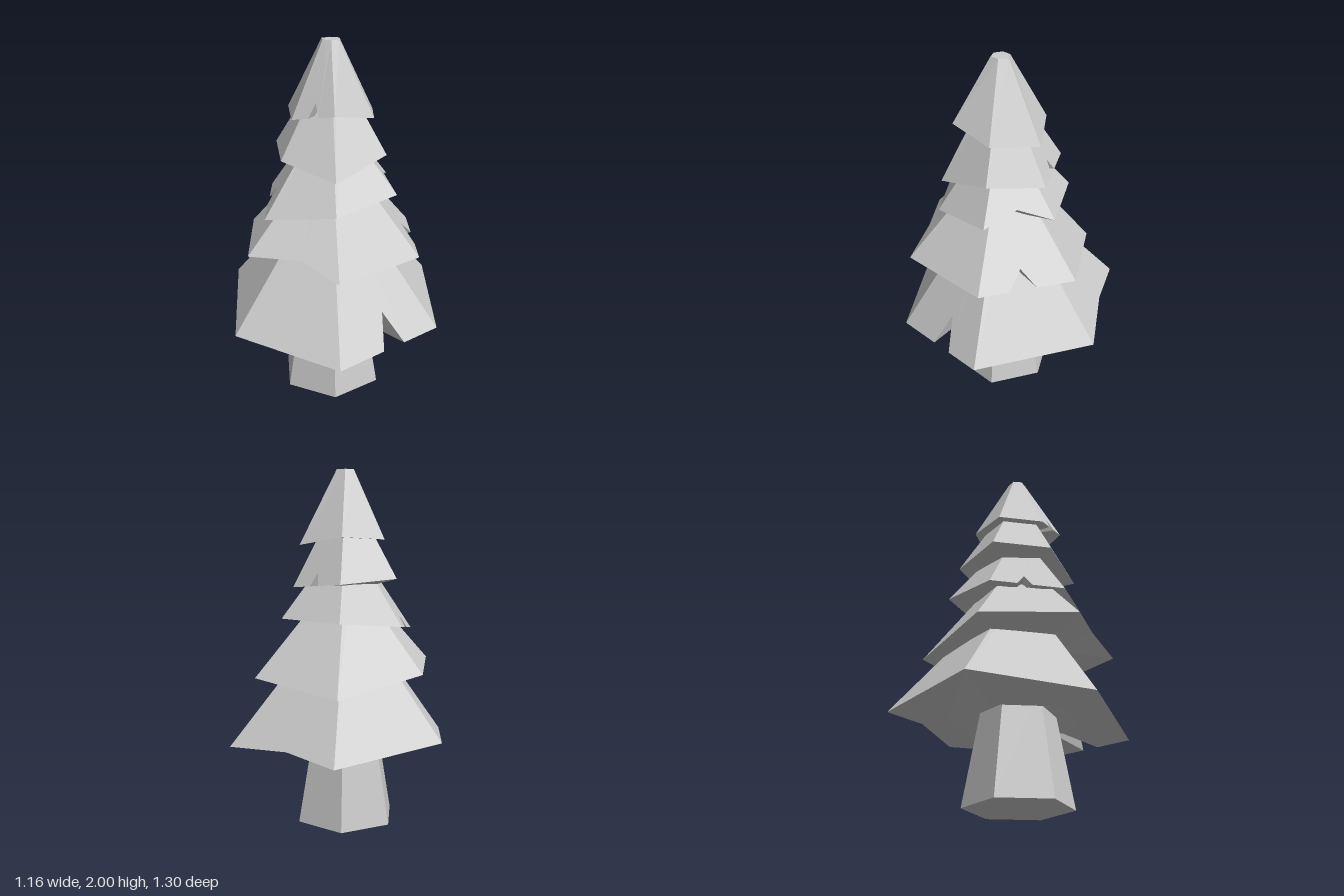
import * as THREE from 'three';

const AXIS = new THREE.Vector3(-0.025, 0, 0.05);

// Radii and heights of the six rim corners, counter-clockwise from the front.
// Dents: side, position along it, half width (0 = a single raised point), lift.
const tiers = [
  { name: 'bottomBranches', under: 0.455, top: 1.22, tip: 0.1,
    radii: [0.6, 0.65, 0.7, 0.7, 0.63, 0.635], heights: [0.385, 0.455, 0.5, 0.5, 0.54, 0.455],
    dents: [[0, 0.545, 0.105, 0.17], [2, 0.54, 0, 0.03]] },
  { name: 'lowerBranches', under: 0.85, top: 1.42, tip: 0.1,
    radii: [0.54, 0.53, 0.55, 0.525, 0.505, 0.535], heights: [0.86, 0.865, 0.87, 0.81, 0.9, 0.91],
    dents: [[1, 0.46, 0.14, 0.09], [5, 0.57, 0, 0.05]] },
  { name: 'middleBranches', under: 1.17, top: 1.62, tip: 0.1,
    radii: [0.36, 0.39, 0.39, 0.395, 0.37, 0.425], heights: [1.15, 1.205, 1.19, 1.19, 1.15, 1.095],
    dents: [[1, 0.5, 0, 0.065], [4, 0.47, 0.1, 0.07]] },
  { name: 'upperBranches', under: 1.37, top: 1.88, tip: 0.1,
    radii: [0.335, 0.325, 0.32, 0.34, 0.335, 0.315], heights: [1.33, 1.42, 1.36, 1.39, 1.41, 1.4],
    dents: [[2, 0.45, 0.09, 0.07]] },
  { name: 'topBranches', under: 1.63, top: 2, tip: 0.2,
    radii: [0.26, 0.25, 0.28, 0.25, 0.255, 0.245], heights: [1.66, 1.61, 1.59, 1.635, 1.62, 1.61],
    dents: [[5, 0.51, 0.12, 0.07]] },
];

// Copy of a rim shrunk towards the axis at a fixed height
const ringAt = (rim, scale, y) => rim.map((p) => new THREE.Vector3(p.x * scale, y, p.z * scale));

function tierGeometry({ under, top, tip, radii, heights, dents }) {
  const corners = radii.map((radius, i) =>
    new THREE.Vector3().setFromCylindricalCoords(radius, i * Math.PI / 3, heights[i]));

  // Straight rim, and the same rim with dents lifted up the slope
  const edge = [], rim = [];
  const addPoint = (p, lift) => {
    const scale = 1 - (1 - tip) * lift / (top - p.y);
    edge.push(p);
    rim.push(new THREE.Vector3(p.x * scale, p.y + lift, p.z * scale));
  };
  corners.forEach((corner, i) => {
    const next = corners[(i + 1) % 6];
    addPoint(corner, 0);
    for (const [side, at, half, lift] of dents) {
      if (side !== i) continue;
      if (half) addPoint(corner.clone().lerp(next, at - half), 0);
      addPoint(corner.clone().lerp(next, at), lift);
      if (half) addPoint(corner.clone().lerp(next, at + half), 0);
    }
  });

  // From the hollow underside, out to the rim, up the slope to the cap
  const rings = [
    ringAt(rim, 0, under + 0.12), ringAt(rim, 0.55, under), rim,
    ringAt(edge, tip, top), ringAt(edge, 0, top),
  ];
  const n = rim.length, index = [];
  for (let r = 0; r < rings.length - 1; r++) {
    for (let i = 0; i < n; i++) {
      const a = r * n + i, b = r * n + (i + 1) % n, c = a + n, d = b + n;
      if (r > 0) index.push(a, b, d);
      if (r < rings.length - 2) index.push(a, d, c);
    }
  }
  const geometry = new THREE.BufferGeometry().setFromPoints(rings.flat());
  geometry.setIndex(index);
  const flat = geometry.toNonIndexed();
  flat.computeVertexNormals();
  return flat;
}

export function createModel() {
  const group = new THREE.Group();
  group.name = 'pineTree';
  const material = new THREE.MeshStandardMaterial({
    color: 0xcccccc, flatShading: true, side: THREE.DoubleSide });

  // Tapered six-sided trunk
  const trunk = new THREE.Mesh(new THREE.CylinderGeometry(0.19, 0.297, 0.6, 6), material);
  trunk.name = 'trunk';
  trunk.position.copy(AXIS).setY(0.3);
  group.add(trunk);

  // Stacked branch tiers
  for (const tier of tiers) {
    const mesh = new THREE.Mesh(tierGeometry(tier), material);
    mesh.name = tier.name;
    mesh.position.copy(AXIS);
    group.add(mesh);
  }
  return group;
}
